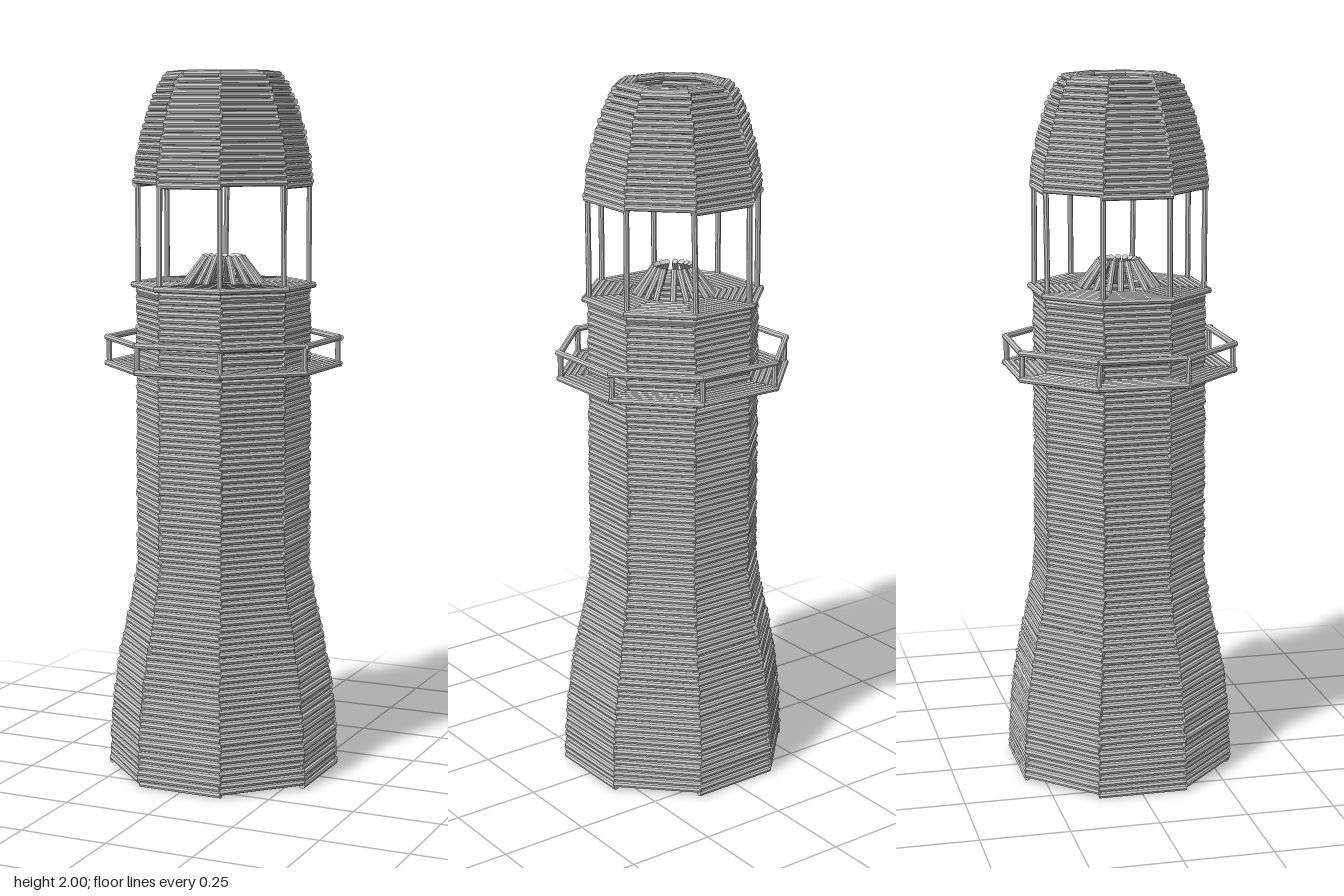
import * as THREE from 'three';
import { mergeGeometries } from 'three/addons/utils/BufferGeometryUtils.js';

const R = 0.009;      // stick radius
const PITCH = 0.0172; // height of one course
const HALF = Math.tan(Math.PI / 8); // half side of an octagon with apothem 1
const UP = new THREE.Vector3(0, 1, 0);

// Small seeded generator, returns -1..1
let seed = 7;
function jitter(amount) {
  seed = (seed * 16807) % 2147483647;
  return (seed / 2147483647 * 2 - 1) * amount;
}

// Round stick between two points
function stick(a, b, radius = R) {
  const d = b.clone().sub(a);
  const g = new THREE.CylinderGeometry(radius, radius, d.length(), 8);
  g.applyQuaternion(new THREE.Quaternion().setFromUnitVectors(UP, d.normalize()));
  const mid = a.clone().add(b).multiplyScalar(0.5);
  return g.translate(mid.x, mid.y, mid.z);
}

// Point at angle t, radius r and height y
function polar(t, r, y) {
  return new THREE.Vector3(Math.sin(t) * r, y, Math.cos(t) * r);
}

// One octagonal course of eight sticks; every second side sits half a course higher
function course(apothem, y, stagger = 0, wobble = 0.003, radius = R) {
  const sticks = [];
  for (let i = 0; i < 8; i++) {
    const t = i * Math.PI / 4;
    const along = polar(t + Math.PI / 2, 1, 0);
    const h = apothem * HALF + 0.004;
    const end = s => polar(t, apothem + jitter(wobble), y + (i % 2) * stagger)
      .addScaledVector(along, s * h + jitter(wobble));
    sticks.push(stick(end(-1), end(1), radius));
  }
  return sticks;
}

// Smooth profile: apothem as a function of height
function profile(points) {
  return y => {
    for (let i = 1; i < points.length; i++) {
      const [y0, r0] = points[i - 1], [y1, r1] = points[i];
      if (y <= y1) return r0 + (r1 - r0) * (y - y0) / (y1 - y0);
    }
    return points[points.length - 1][1];
  };
}

// Stacked wall of courses following a profile
function wall(y0, y1, shape) {
  const sticks = [];
  const n = Math.round((y1 - y0) / PITCH);
  for (let i = 0; i <= n; i++) {
    const y = y0 + (y1 - y0) * i / n;
    sticks.push(...course(shape(y), y, i < n ? PITCH / 2 : 0));
  }
  return sticks;
}

// Flat deck of concentric courses
function deck(outer, inner, y) {
  const sticks = [];
  for (let a = outer; a >= inner; a -= 0.0165) sticks.push(...course(a, y, 0, 0.0015));
  return sticks;
}

// Upright posts at the eight corners
function posts(apothem, y0, y1, radius) {
  const sticks = [];
  const r = apothem / Math.cos(Math.PI / 8);
  for (let i = 0; i < 8; i++) {
    const t = (i + 0.5) * Math.PI / 4;
    sticks.push(stick(polar(t + jitter(0.015), r, y0), polar(t + jitter(0.015), r, y1), radius));
  }
  return sticks;
}

export function createModel() {
  seed = 7;
  const group = new THREE.Group();
  const material = new THREE.MeshStandardMaterial({ color: 0xcccccc, flatShading: true });
  const add = (name, sticks) => {
    const mesh = new THREE.Mesh(mergeGeometries(sticks), material);
    mesh.name = name;
    group.add(mesh);
  };

  // Tower: flared foot and straight shaft
  add('tower', wall(R, 1.385, profile([
    [0, 0.298], [0.15, 0.292], [0.28, 0.278], [0.4, 0.257],
    [0.5, 0.236], [0.6, 0.221], [1.4, 0.219]])));

  // Balcony: deck, posts and top rail
  add('balconyDeck', deck(0.303, 0.225, 1.178));
  add('balconyPosts', posts(0.3, 1.178, 1.25, 0.008));
  add('balconyRail', course(0.303, 1.252));

  // Lantern room: floor with a central hole, posts
  add('lanternFloor', deck(0.234, 0.115, 1.402));
  add('lanternPosts', posts(0.223, 1.4, 1.69, 0.008));

  // Lamp: ring of sticks leaning inward
  const lamp = [];
  for (let i = 0; i < 18; i++) {
    const t = i * Math.PI / 9 + jitter(0.06);
    lamp.push(stick(polar(t, 0.112, 1.405), polar(t + jitter(0.08), 0.053, 1.482)));
  }
  add('lamp', lamp);

  // Dome: curved wall, then flat courses around the open top
  add('dome', [
    ...wall(1.685, 1.988, profile([
      [1.685, 0.226], [1.75, 0.219], [1.82, 0.205], [1.88, 0.189],
      [1.93, 0.172], [1.965, 0.156], [1.99, 0.139]])),
    ...course(0.126, 1.99, 0, 0.001),
    ...course(0.114, 1.99, 0, 0.001)]);

  return group;
}
